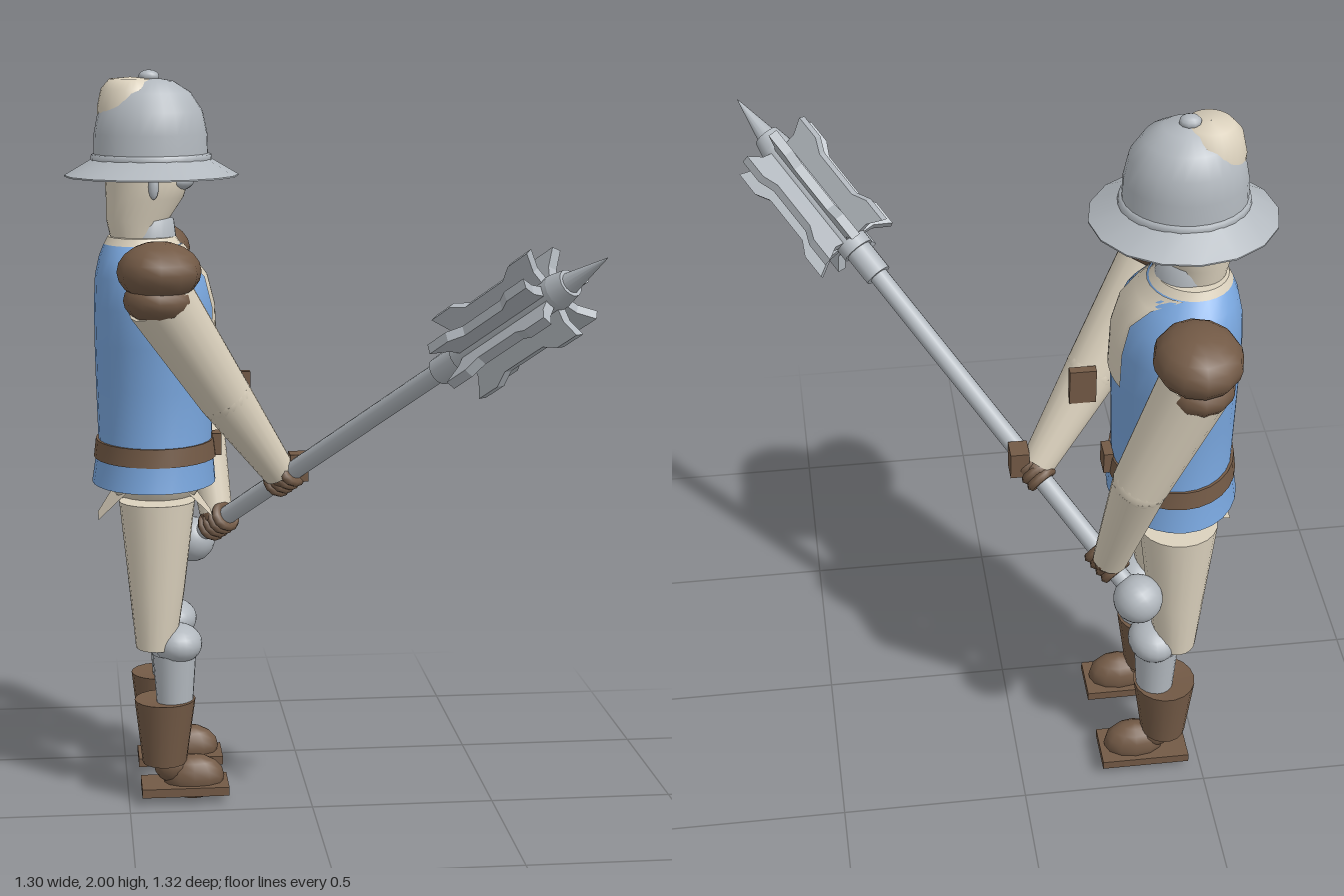
import * as THREE from 'three';

const mat = (name, color) => {
  const m = new THREE.MeshStandardMaterial({ color });
  m.name = name;
  return m;
};
const V = (x, y, z) => new THREE.Vector3(x, y, z);

export function createModel() {
  const steel = mat('steel', 0xb2b8be);
  const leather = mat('brown leather', 0x735a46);
  const tunic = mat('blue cloth', 0x78a5dc);
  const linen = mat('cream linen', 0xdbd1bd);
  const linenFlap = mat('cream flap', 0xdbd1bd);
  linenFlap.side = THREE.DoubleSide;

  const model = new THREE.Group();
  model.name = 'guard';
  const CZ = -0.25; // middle of the body

  const add = (name, geo, material, pos = V(0, 0, 0), parent = model) => {
    const m = new THREE.Mesh(geo, material);
    m.name = name;
    m.position.copy(pos);
    parent.add(m);
    return m;
  };
  const ball = (name, material, pos, r, w = 20, h = 14, parent = model) => {
    const m = add(name, new THREE.SphereGeometry(1, w, h), material, pos, parent);
    m.scale.set(...r);
    return m;
  };
  const box = (name, material, pos, s) => add(name, new THREE.BoxGeometry(...s), material, pos);

  // Elliptical rings joined upward; row = [y, centre x, radius x, radius z, half angle].
  // A repeated row makes a crease.
  const loft = (name, material, rows, cz = CZ, seg = 28) => {
    const pos = [], idx = [];
    const open = rows[0].length > 4;
    const n = open ? seg + 1 : seg;
    for (const [y, cx, rx, rz, half = Math.PI] of rows)
      for (let j = 0; j < n; j++) {
        const t = -half + (2 * half * j) / seg;
        pos.push(cx + rx * Math.cos(t), y, cz + rz * Math.sin(t));
      }
    for (let i = 0; i < rows.length - 1; i++)
      for (let j = 0; j < seg; j++) {
        const k = (j + 1) % n, a = i * n + j, b = i * n + k;
        idx.push(a, a + n, b, a + n, b + n, b);
      }
    const g = new THREE.BufferGeometry();
    g.setAttribute('position', new THREE.Float32BufferAttribute(pos, 3));
    g.setIndex(idx);
    g.computeVertexNormals();
    return add(name, g, material);
  };

  // Tapered limb from a to b
  const limb = (name, material, a, b, ra, rb, seg = 18) => {
    const d = b.clone().sub(a);
    const m = add(name, new THREE.CylinderGeometry(rb, ra, d.length(), seg), material,
      a.clone().lerp(b, 0.5));
    m.quaternion.setFromUnitVectors(V(0, 1, 0), d.normalize());
    return m;
  };

  // Tunic, shirt front and collar
  const body = [
    [0.88, -0.415, 0.17, 0.213], [1.0, -0.41, 0.156, 0.19], [1.15, -0.41, 0.16, 0.19],
    [1.27, -0.408, 0.164, 0.2], [1.37, -0.41, 0.162, 0.208], [1.45, -0.418, 0.15, 0.19],
    [1.5, -0.432, 0.125, 0.15], [1.535, -0.438, 0.105, 0.11],
  ];
  loft('tunic', tunic, [[0.88, -0.415, 0.001, 0.001], body[0], ...body]);
  const panelAngles = [0.42, 0.4, 0.4, 0.6, 1.2];
  loft('shirtFront', linen, body.slice(3).map(([y, cx, rx, rz], i) =>
    [y, cx, rx + 0.005, rz + 0.005, panelAngles[i]]), CZ, 10);
  loft('collar', linen, [[1.53, -0.438, 0.107, 0.112], [1.555, -0.44, 0.092, 0.098],
    [1.555, -0.44, 0.092, 0.098], [1.555, -0.44, 0.001, 0.001]]);

  // Belt with buckle, and a strap hung in front of the chest
  loft('belt', leather, [[0.95, -0.411, 0.15, 0.18], [0.95, -0.411, 0.168, 0.203],
    [0.95, -0.411, 0.168, 0.203], [1.0, -0.411, 0.162, 0.197],
    [1.0, -0.411, 0.162, 0.197], [1.0, -0.411, 0.15, 0.18]]);
  box('buckle', leather, V(-0.242, 0.98, CZ), [0.025, 0.06, 0.058]);
  box('strap', leather, V(-0.19, 1.145, -0.15), [0.07, 0.1, 0.024]);

  // Hips and the front and back flaps
  loft('hips', linen, [[0.8, -0.41, 0.001, 0.001], [0.83, -0.41, 0.1, 0.13],
    [0.88, -0.41, 0.14, 0.18], [0.92, -0.41, 0.14, 0.18]]);
  for (const s of [1, -1]) {
    const flap = new THREE.Shape([[-0.17, 0.89], [0.17, 0.89], [0.055, 0.78], [-0.055, 0.78]]
      .map(p => new THREE.Vector2(...p)));
    const g = new THREE.ShapeGeometry(flap);
    const p = g.attributes.position;
    for (let i = 0; i < p.count; i++) {
      const z = p.getX(i), y = p.getY(i);
      const out = y > 0.85 ? 0.07 : 0.157; // corners wrap back round the hips
      p.setXYZ(i, -0.413 + s * out, y, CZ + z);
    }
    g.computeVertexNormals();
    add(s > 0 ? 'frontFlap' : 'backFlap', g, linenFlap);
  }

  // Legs
  for (const [side, z] of [['left', -0.114], ['right', -0.386]]) {
    loft(side + 'Thigh', linen, [[0.44, -0.42, 0.001, 0.001], [0.44, -0.42, 0.055, 0.068],
      [0.44, -0.42, 0.055, 0.068], [0.6, -0.415, 0.075, 0.082], [0.85, -0.412, 0.103, 0.096],
      [0.85, -0.412, 0.103, 0.096], [0.85, -0.412, 0.001, 0.001]], z, 20);
    ball(side + 'KneeGuard', steel, V(-0.36, 0.447, z), [0.067, 0.055, 0.079]);
    loft(side + 'Shin', steel, [[0.25, -0.37, 0.048, 0.052], [0.42, -0.37, 0.06, 0.06]], z, 20);
    loft(side + 'Boot', leather, [[0.11, -0.4, 0.001, 0.001], [0.11, -0.4, 0.061, 0.067],
      [0.11, -0.4, 0.061, 0.067], [0.29, -0.397, 0.084, 0.088], [0.29, -0.397, 0.084, 0.088],
      [0.28, -0.397, 0.001, 0.001]], z, 18);
    ball(side + 'Foot', leather, V(-0.32, 0.064, z), [0.085, 0.063, 0.053], 12, 8);
    ball(side + 'Ankle', leather, V(-0.38, 0.1, z), [0.05, 0.05, 0.045], 12, 8);
    box(side + 'Sole', leather, V(-0.345, 0.037, z), [0.24, 0.024, 0.13]);
  }

  // Arms and shoulder guards
  const arms = [
    ['left', V(-0.405, 1.42, 0.03), V(-0.23, 1.14, -0.075), V(-0.075, 0.91, -0.165)],
    ['right', V(-0.405, 1.42, -0.53), V(-0.285, 1.1, -0.505), V(-0.235, 0.75, -0.39)],
  ];
  for (const [side, shoulder, elbow, wrist] of arms) {
    const z = shoulder.z + (side === 'left' ? 0.003 : 0);
    ball(side + 'ShoulderTop', leather, V(-0.405, 1.49, z), [0.111, 0.079, 0.127], 12, 10);
    ball(side + 'ShoulderLower', leather, V(-0.408, 1.415, z), [0.092, 0.063, 0.105], 12, 10);
    limb(side + 'UpperArm', linen, shoulder, elbow, 0.092, 0.073);
    ball(side + 'Elbow', linen, elbow, [0.073, 0.073, 0.073]);
    limb(side + 'Forearm', linen, elbow, wrist, 0.073, 0.046);
  }

  // Neck, head and throat guard
  loft('head', linen, [[1.53, -0.45, 0.07, 0.07], [1.6, -0.45, 0.085, 0.082],
    [1.66, -0.43, 0.105, 0.096], [1.73, -0.42, 0.118, 0.105], [1.85, -0.453, 0.1, 0.1],
    [1.9, -0.46, 0.095, 0.095], [1.95, -0.463, 0.081, 0.082], [1.976, -0.465, 0.056, 0.06],
    [1.981, -0.465, 0.001, 0.001]]);
  loft('throatGuard', steel, [[1.54, -0.42, 0.075, 0.077], [1.6, -0.422, 0.07, 0.073],
    [1.62, -0.43, 0.04, 0.05]]);
  ball('chinGuard', steel, V(-0.345, 1.705, CZ), [0.05, 0.03, 0.075]);
  for (const s of [1, -1])
    ball('cheekRivet', steel, V(-0.41, 1.695, CZ + s * 0.1), [0.014, 0.035, 0.012], 10, 8);

  // Helmet
  loft('helmetDome', steel, [[1.73, -0.412, 0.156, 0.139], [1.83, -0.412, 0.153, 0.138],
    [1.89, -0.412, 0.141, 0.127], [1.94, -0.411, 0.108, 0.098], [1.97, -0.41, 0.06, 0.055],
    [1.98, -0.41, 0.001, 0.001]]);
  loft('helmetBand', steel, [[1.755, -0.411, 0.155, 0.138], [1.757, -0.411, 0.164, 0.147],
    [1.775, -0.411, 0.162, 0.145], [1.778, -0.411, 0.152, 0.135]]);
  loft('helmetBrim', steel, [[1.74, -0.411, 0.115, 0.1], [1.716, -0.411, 0.235, 0.22],
    [1.716, -0.411, 0.235, 0.22], [1.72, -0.411, 0.235, 0.22], [1.72, -0.411, 0.235, 0.22],
    [1.77, -0.411, 0.15, 0.135]], CZ, 16);
  ball('helmetKnob', steel, V(-0.415, 1.982, CZ), [0.028, 0.018, 0.024], 10, 8);

  // Mace, built along its own y axis from the pommel
  const mace = new THREE.Group();
  mace.name = 'mace';
  const base = V(-0.3, 0.66, -0.455);
  const axis = V(0.64, 1.585, 0.66).sub(base);
  const L = axis.length();
  mace.position.copy(base);
  mace.quaternion.setFromUnitVectors(V(0, 1, 0), axis.normalize());
  model.add(mace);
  const rod = (name, r0, r1, y0, y1, seg = 14) =>
    add(name, new THREE.CylinderGeometry(r1, r0, y1 - y0, seg), steel, V(0, (y0 + y1) / 2, 0), mace);
  ball('pommel', steel, V(0, 0, 0), [0.065, 0.065, 0.065], 20, 14, mace);
  rod('shaft', 0.026, 0.026, 0.02, L * 0.68);
  rod('collar', 0.037, 0.037, L * 0.64, L * 0.7);
  rod('maceCore', 0.045, 0.045, L * 0.69, L * 0.9);
  rod('spikeBase', 0.045, 0.036, L * 0.9, L * 0.925);
  rod('spike', 0.034, 0.001, L * 0.905, L);
  const outline = [[0.02, 1.225], [0.075, 1.225], [0.122, 1.2], [0.122, 1.27], [0.1, 1.31],
    [0.1, 1.45], [0.122, 1.49], [0.122, 1.56], [0.075, 1.54], [0.02, 1.54]];
  const flangeGeo = new THREE.ExtrudeGeometry(
    new THREE.Shape(outline.map(p => new THREE.Vector2(...p))), { depth: 0.026, bevelEnabled: false });
  flangeGeo.translate(0, 0, -0.013);
  for (let i = 0; i < 7; i++)
    add('flange', flangeGeo, steel, V(0, 0, 0), mace).rotation.y = (i / 7) * Math.PI * 2;

  // Hands: four fingers curled round the shaft and a palm at the wrist
  const fingerGeo = new THREE.TorusGeometry(0.032, 0.014, 6, 12).rotateX(Math.PI / 2);
  for (const [name, t, wrist] of [['leftHand', 0.255, arms[0][3]], ['rightHand', 0.075, arms[1][3]]]) {
    for (let i = 0; i < 4; i++)
      add(name + 'Finger', fingerGeo, leather, V(0, t * L + (i - 1.5) * 0.023, 0), mace);
    const grip = base.clone().addScaledVector(axis, t * L);
    ball(name + 'Palm', leather, grip.lerp(wrist, 0.5), [0.045, 0.04, 0.045], 8, 6);
    ball(name + 'Wrist', leather, wrist, [0.048, 0.03, 0.048], 8, 6);
  }
  box('leftCuff', leather, V(-0.022, 0.925, -0.165), [0.05, 0.075, 0.06]);

  return model;
}
